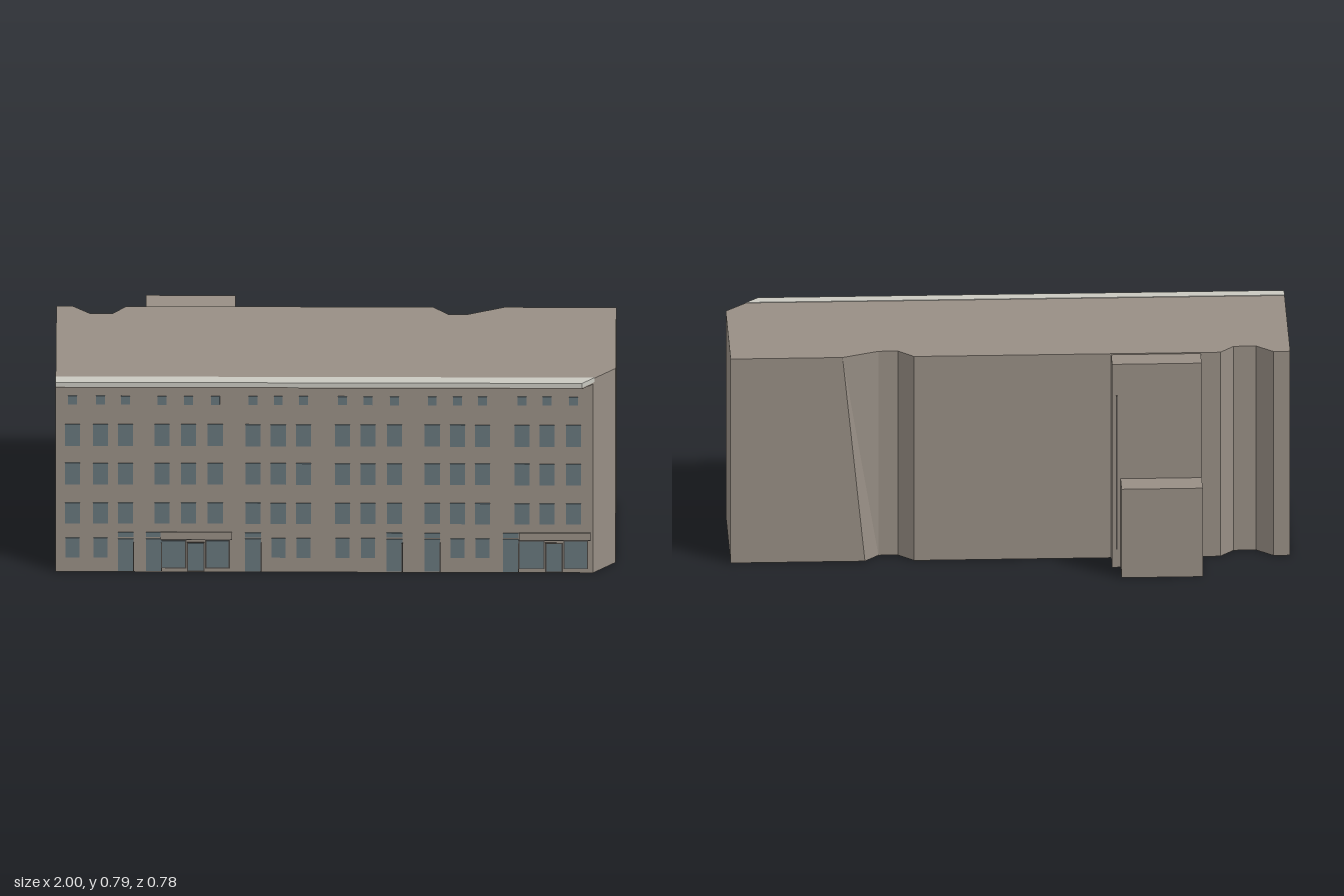
import * as THREE from 'three';

const paint = (name, color) => {
  const m = new THREE.MeshStandardMaterial({ color });
  m.name = name;
  return m;
};

export function createModel() {
  const wall = paint('wall', 0x978e84);
  const glass = paint('glass', 0x66757b);
  const stone = paint('pale stone', 0xc9c8c0);
  const dark = paint('dark frame', 0x4a4642);

  const model = new THREE.Group();
  model.name = 'building';

  const add = (parent, name, geometry, material) => {
    const mesh = new THREE.Mesh(geometry, material);
    mesh.name = name;
    parent.add(mesh);
    return mesh;
  };
  const group = (name) => {
    const g = new THREE.Group();
    g.name = name;
    model.add(g);
    return g;
  };
  // Box given by its lower and upper bounds
  const box = (parent, name, material, x0, x1, y0, y1, z0, z1) => {
    const g = new THREE.BoxGeometry(x1 - x0, y1 - y0, z1 - z0);
    g.translate((x0 + x1) / 2, (y0 + y1) / 2, (z0 + z1) / 2);
    return add(parent, name, g, material);
  };
  // Prism raised from an (x, z) outline
  const prism = (outline, y0, y1) => {
    const shape = new THREE.Shape(outline.map(([x, z]) => new THREE.Vector2(x, -z)));
    const g = new THREE.ExtrudeGeometry(shape, { depth: y1 - y0, bevelEnabled: false });
    return g.rotateX(-Math.PI / 2).translate(0, y0, 0);
  };

  // Main block: cut front corner and two light wells at the back
  const body = prism([
    [-1, 0.35], [0.92, 0.35], [1, 0.27], [1, -0.195], [0.52, -0.195],
    [0.47, -0.14], [0.4, -0.14], [0.345, -0.195], [-0.75, -0.195],
    [-0.8, -0.14], [-0.88, -0.14], [-0.94, -0.195], [-1, -0.195],
  ], 0, 0.784);
  // The right well widens toward the roof
  const p = body.attributes.position;
  for (let i = 0; i < p.count; i++) {
    if (p.getY(i) > 0.5 && Math.abs(p.getX(i) - 0.52) < 0.001) p.setX(i, 0.6);
  }
  body.computeVertexNormals();
  add(model, 'mainBlock', body, wall);

  // Rear stair tower, low annex and drainpipe
  box(model, 'rearTower', wall, -0.68, -0.36, 0, 0.78, -0.288, -0.19);
  box(model, 'rearAnnex', wall, -0.68, -0.39, 0, 0.34, -0.39, -0.285);
  box(model, 'drainpipe', dark, -0.379, -0.373, 0.07, 0.66, -0.291, -0.287);

  // Cornice along the front eaves
  add(model, 'cornice', prism([[-1, 0.345], [-1, 0.39], [0.88, 0.39], [0.925, 0.345]], 0.768, 0.786), stone);
  add(model, 'corniceSoffit', prism([[-1, 0.345], [-1, 0.388], [0.882, 0.388], [0.922, 0.348]], 0.763, 0.768), wall);

  // Upper window grid: eighteen columns in groups of three
  const columns = [
    -0.94, -0.84, -0.75, -0.62, -0.525, -0.43, -0.295, -0.205, -0.115,
    0.025, 0.115, 0.21, 0.345, 0.435, 0.525, 0.665, 0.755, 0.85,
  ];
  const floors = [[0.197, 0.28, 0.054], [0.355, 0.44, 0.054], [0.51, 0.597, 0.054], [0.677, 0.711, 0.032]];
  const windows = group('windows');
  const pane = (name, x, w, y0, y1, parent = windows) =>
    box(parent, name, glass, x - w / 2, x + w / 2, y0, y1, 0.349, 0.354);
  for (const [y0, y1, w] of floors) {
    for (const x of columns) pane('window', x, w, y0, y1);
  }
  for (const x of [-0.94, -0.84, -0.205, -0.115, 0.025, 0.115, 0.435, 0.525]) {
    pane('groundWindow', x, 0.05, 0.06, 0.138);
  }

  // Entrance doors with a transom bar
  const doors = group('doors');
  for (const x of [-0.75, -0.65, -0.295, 0.21, 0.345, 0.625]) {
    pane('door', x, 0.056, 0.005, 0.135, doors);
    pane('transom', x, 0.056, 0.142, 0.16, doors);
    box(doors, 'doorJamb', dark, x + 0.026, x + 0.03, 0.005, 0.12, 0.349, 0.355);
  }

  // Two shop fronts: framed panes, a door between, a fascia above
  for (const x of [-0.5, 0.78]) {
    const shop = group('shopFront');
    for (const [dx, w, y0, y1] of [[-0.08, 0.085, 0.02, 0.128], [0, 0.055, 0.008, 0.118], [0.078, 0.08, 0.02, 0.128]]) {
      const c = x + dx;
      box(shop, 'shopFrame', dark, c - w / 2 - 0.004, c + w / 2 + 0.004, y0 - 0.004, y1 + 0.003, 0.349, 0.353);
      pane('shopPane', c, w, y0, y1, shop).position.z = 0.001;
    }
    box(shop, 'fasciaEdge', dark, x - 0.125, x + 0.13, 0.132, 0.135, 0.349, 0.356);
    box(shop, 'fascia', wall, x - 0.125, x + 0.13, 0.135, 0.162, 0.349, 0.356);
  }

  return model;
}
